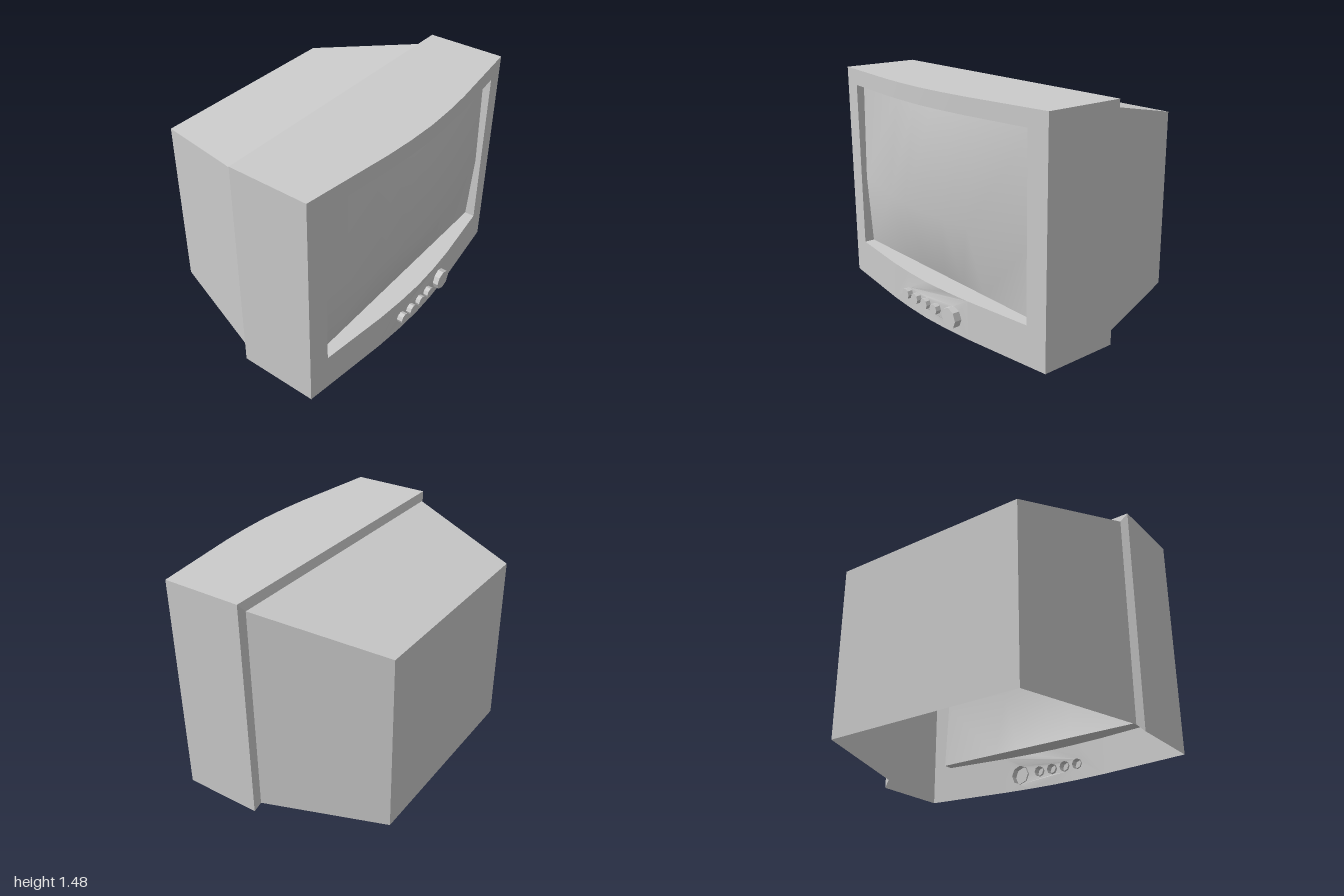
import * as THREE from 'three';
import { toCreasedNormals } from 'three/addons/utils/BufferGeometryUtils.js';

const material = new THREE.MeshStandardMaterial({ color: 0xcccccc, side: THREE.DoubleSide });
const H = 1.475;                                   // cabinet height
const OPEN = { x: 0.86, bottom: 0.25, top: 1.37 }; // screen opening
const openXs = [-0.86, -0.4, -0.2, 0, 0.2, 0.4, 0.86];
const allXs = [-1, ...openXs, 1];

// Depth of the gently bowed front at a given x
const bow = [[0, 0.70], [0.2, 0.693], [0.4, 0.677], [1, 0.602]];
function frontZ(x) {
  const a = Math.min(Math.abs(x), 1);
  const i = a <= 0.2 ? 0 : a <= 0.4 ? 1 : 2;
  const [x0, z0] = bow[i], [x1, z1] = bow[i + 1];
  return z0 + (z1 - z0) * (a - x0) / (x1 - x0);
}

// Skin between rows of points; the front side is row direction x column direction
function skin(rows, crease = 0.5) {
  const n = rows[0].length, index = [];
  for (let r = 0; r < rows.length - 1; r++) {
    for (let c = 0; c < n - 1; c++) {
      const a = r * n + c, b = a + n;
      index.push(a, b, b + 1, a, b + 1, a + 1);
    }
  }
  const geo = new THREE.BufferGeometry();
  geo.setAttribute('position', new THREE.Float32BufferAttribute(rows.flat(2), 3));
  geo.setIndex(index);
  return toCreasedNormals(geo, crease);
}

// Front panel from an outline, bent to the bow of the front
function bentPanel(outline, holes = []) {
  const shape = new THREE.Shape(outline.map(([x, y]) => new THREE.Vector2(x, y)));
  shape.holes.push(...holes);
  const geo = new THREE.ShapeGeometry(shape, 8);
  const p = geo.attributes.position;
  for (let i = 0; i < p.count; i++) p.setZ(i, frontZ(p.getX(i)));
  return toCreasedNormals(geo, 0.5);
}

export function createModel() {
  const model = new THREE.Group();
  const add = (name, geo, parent = model) => {
    const mesh = new THREE.Mesh(geo, material);
    mesh.name = name;
    parent.add(mesh);
    return mesh;
  };

  // Open-bottomed casing: sides and top lofted from front to back
  const arch = (w, y0, y1, zAt) => [
    [w, y0, zAt(1)],
    ...[...allXs].reverse().map(x => [x * w, y1, zAt(x)]),
    [-w, y0, zAt(1)],
  ];
  const front = arch(1, 0, H, frontZ);
  const rim = arch(1, 0, H, () => 0.075);
  const step = arch(0.955, 0.045, 1.42, () => 0.057);
  const rear = arch(0.695, 0.07, 1.25, () => -0.73);
  add('cabinet', skin([front, rim]));
  add('rimStep', skin([rim, step], 0.2));
  add('rearHousing', skin([step, rear]));
  add('backPanel', skin([
    [[0.695, 0.07, -0.73], [0.695, 1.25, -0.73]],
    [[-0.695, 0.07, -0.73], [-0.695, 1.25, -0.73]],
  ]));

  // Bezel around the screen
  const bezel = new THREE.Group();
  bezel.name = 'bezel';
  model.add(bezel);
  const column = (xs, y0, y1) => xs.map(x => [[x, y0, frontZ(x)], [x, y1, frontZ(x)]]);
  add('bezelTop', skin(column(allXs, OPEN.top, H)), bezel);
  for (const s of [-1, 1]) {
    const side = s < 0 ? [-1, -OPEN.x] : [OPEN.x, 1];
    add(s < 0 ? 'bezelRight' : 'bezelLeft', skin(column(side, OPEN.bottom, OPEN.top)), bezel);
    const corner = s < 0 ? [-1, -0.86, -0.4] : [0.4, 0.86, 1];
    add(s < 0 ? 'bezelLowerRight' : 'bezelLowerLeft', skin(column(corner, 0, OPEN.bottom)), bezel);
  }

  // Control panel with holes for the knobs
  const knobY = 0.11;
  const knobs = [[-0.19, 0.036], [-0.09, 0.036], [0.013, 0.036], [0.115, 0.036], [0.275, 0.068]];
  const panelXs = [-0.4, -0.2, 0, 0.2, 0.4];
  const outline = [
    ...panelXs.map(x => [x, 0]),
    ...[...panelXs].reverse().map(x => [x, OPEN.bottom]),
  ];
  const holes = knobs.map(([kx, r]) => {
    const pts = [];
    for (let i = 0; i < 8; i++) {
      const a = -i * Math.PI / 4;
      pts.push(new THREE.Vector2(kx + r * Math.cos(a), knobY + r * Math.sin(a)));
    }
    return new THREE.Path(pts);
  });
  add('controlPanel', bentPanel(outline, holes), bezel);

  // Eight-sided knobs, hollow behind
  knobs.forEach(([kx, r], i) => {
    const profile = [[r, 0.68], [r, 0.73], [0, 0.73]].map(p => new THREE.Vector2(...p));
    const geo = toCreasedNormals(new THREE.LatheGeometry(profile, 8), 0.3);
    geo.rotateX(Math.PI / 2);
    const knob = add(i === 4 ? 'volumeKnob' : 'button', geo);
    knob.position.set(kx, knobY, 0);
  });

  // Bulging screen: depths per column at the bottom, middle and top
  const middle = [0.58, 0.68, 0.703, 0.718, 0.703, 0.68, 0.58];
  const top = [0.565, 0.6, 0.605, 0.608, 0.605, 0.6, 0.565];
  const screenRows = openXs.map((x, i) => [
    [x, OPEN.bottom, 0.55], [x, 0.72, middle[i]], [x, OPEN.top, top[i]],
  ]);
  add('screen', skin(screenRows, 1.2));

  // Recess walls from the bezel back to the screen edge
  const last = screenRows.length - 1;
  const edges = [
    ['recessFloor', screenRows.map(r => r[0]).reverse()],
    ['recessRight', screenRows[0]],
    ['recessTop', screenRows.map(r => r[2])],
    ['recessLeft', [...screenRows[last]].reverse()],
  ];
  for (const [name, edge] of edges) {
    add(name, skin([edge.map(([x, y]) => [x, y, frontZ(x)]), edge]));
  }
  return model;
}
